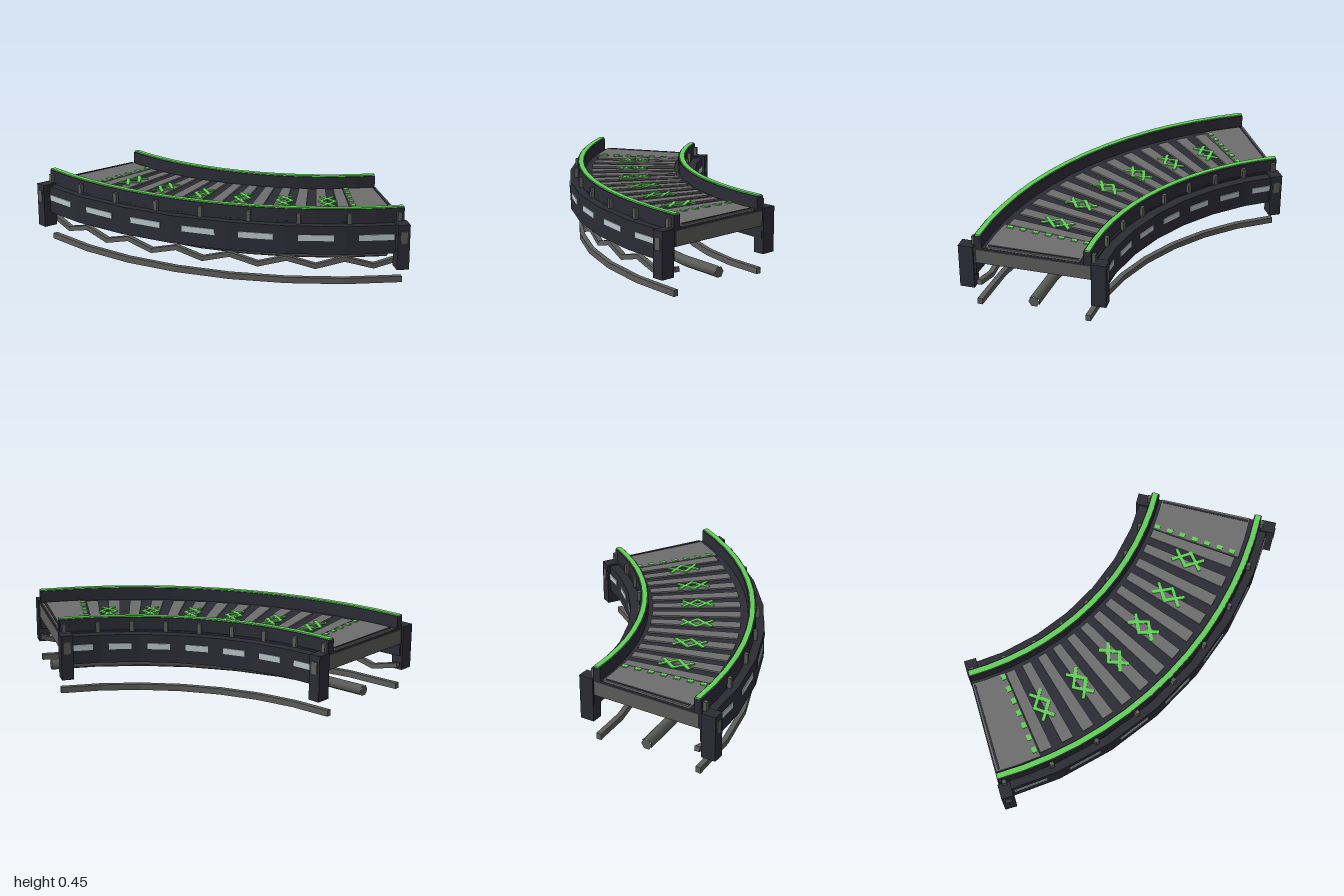
import * as THREE from 'three';

const DEG = Math.PI / 180;
const SWEEP = 60;
const CENTER = { x: -0.99, z: -1.515 };
const SEGMENTS = 7;

function material(name, color) {
  const m = new THREE.MeshStandardMaterial({ color });
  m.name = name;
  return m;
}

// Point on the bend: radius r, angle in degrees from the left end
function polar(r, deg, y) {
  return new THREE.Vector3(CENTER.x + r * Math.sin(deg * DEG), y, CENTER.z + r * Math.cos(deg * DEG));
}

// Curved block between two radii, two heights and two angles
function arcBlock(r0, r1, y0, y1, a0 = 0, a1 = SWEEP, segs = SEGMENTS) {
  const pts = [];
  for (let i = 0; i <= segs; i++) {
    const p = polar(r1, a0 + (a1 - a0) * i / segs, 0);
    pts.push(new THREE.Vector2(p.x, -p.z));
  }
  for (let i = segs; i >= 0; i--) {
    const p = polar(r0, a0 + (a1 - a0) * i / segs, 0);
    pts.push(new THREE.Vector2(p.x, -p.z));
  }
  const geo = new THREE.ExtrudeGeometry(new THREE.Shape(pts), { depth: y1 - y0, bevelEnabled: false });
  geo.rotateX(-Math.PI / 2);
  geo.translate(0, y0, 0);
  return geo;
}

// Constant-radius path under the deck
class BendCurve extends THREE.Curve {
  constructor(r, y) { super(); this.r = r; this.y = y; }
  getPoint(t) { return polar(this.r, t * SWEEP, this.y); }
}

export function createModel() {
  const model = new THREE.Group();
  model.name = 'curvedWalkway';

  const dark = material('darkFrame', 0x2c2c36);
  const grey = material('deckGrey', 0x6e6e6e);
  const pipeGrey = material('pipeGrey', 0x5c5c5a);
  const floorGrey = material('undersideGrey', 0x424242);
  const green = material('markingGreen', 0x62d058);
  const light = material('lightPanel', 0xb9c6cd);

  function add(name, geo, mat, parent = model) {
    const mesh = new THREE.Mesh(geo, mat);
    mesh.name = name;
    parent.add(mesh);
    return mesh;
  }

  // Box whose z axis points outwards from the bend's centre
  function radialBox(name, mat, w, h, d, r, deg, y, shift = 0) {
    const geo = new THREE.BoxGeometry(w, h, d);
    geo.translate(shift, 0, 0);
    const mesh = add(name, geo, mat);
    mesh.position.copy(polar(r, deg, y));
    mesh.rotation.y = deg * DEG;
    return mesh;
  }

  // Deck slab with its underside
  add('deckBase', arcBlock(1.53, 2.21, 0.28, 0.37), dark);
  add('underside', arcBlock(1.53, 2.21, 0.27, 0.28), floorGrey);

  // Side walls, rails, light panels and brackets, inner then outer
  for (const side of [
    { name: 'inner', wall: [1.475, 1.54], rail: [1.537, 1.582], out: -1 },
    { name: 'outer', wall: [2.2, 2.258], rail: [2.163, 2.207], out: 1 },
  ]) {
    const { name, wall, rail, out } = side;
    const face = out > 0 ? wall[1] : wall[0];
    const railFace = out > 0 ? rail[1] : rail[0];
    const mid = (rail[0] + rail[1]) / 2;
    add(name + 'Wall', arcBlock(wall[0], wall[1], 0.195, 0.36), dark);
    add(name + 'Rail', arcBlock(rail[0], rail[1], 0.35, 0.443, 0, SWEEP, 14), dark);
    add(name + 'RailStripe', arcBlock(mid - 0.015, mid + 0.015, 0.443, 0.45, 0, SWEEP, 14), green);

    const step = SWEEP / SEGMENTS;
    const apothem = face * Math.cos(step * DEG / 2);
    const chord = 2 * face * Math.sin(step * DEG / 2);
    for (let i = 0; i < SEGMENTS; i++) {
      radialBox(name + 'LightPanel', light, chord * 0.59, 0.034, 0.006, apothem + out * 0.002, (i + 0.5) * step, 0.292);
    }
    for (let i = 0; i < 9; i++) {
      radialBox(name + 'Bracket', pipeGrey, 0.024, 0.06, 0.025, railFace + out * 0.008, 0.8 + 7.3 * i, 0.393);
    }

    // End posts with small face plates
    const postR = out > 0 ? 2.255 : 1.495;
    for (const [deg, shift] of [[0, 0.025], [SWEEP, -0.025]]) {
      radialBox(name + 'Post', dark, 0.07, 0.262, 0.085, postR, deg, 0.241, shift);
      radialBox(name + 'PostPlate', pipeGrey, 0.038, 0.07, 0.006, postR + out * 0.044, deg, 0.3, shift);
    }
  }

  // Both deck ends: cross bar, grey panel, dark groove and dashed green line
  for (const end of [0, 1]) {
    const at = (a) => (end ? SWEEP - a : a);
    const span = (a, b) => (end ? [SWEEP - b, SWEEP - a] : [a, b]);
    add('endBar', arcBlock(1.545, 2.195, 0.275, 0.358, ...span(-0.12, 0.3), 1), pipeGrey);
    add('endPanel', arcBlock(1.6, 2.14, 0.36, 0.38, ...span(0.05, 7.1), 2), grey);
    add('endGroove', arcBlock(1.61, 2.13, 0.378, 0.383, ...span(0.35, 0.75), 1), dark);
    for (let i = 0; i < 7; i++) {
      radialBox('dash', green, 0.026, 0.008, 0.034, 1.625 + i * 0.078, at(6.55), 0.382);
    }
  }

  // Tread slats
  for (let i = 0; i < 13; i++) {
    const a = 8.25 + i * 43.5 / 12;
    add('slat', arcBlock(1.605, 2.12, 0.365, 0.379, a - 0.97, a + 0.97, 1), grey);
  }

  // Crossed diamond floor markings
  for (let i = 0; i < 6; i++) {
    const marking = new THREE.Group();
    marking.name = 'floorMarking';
    const deg = 10.8 + i * 7.68;
    marking.position.copy(polar(1.87, deg, 0.383));
    marking.rotation.y = deg * DEG;
    for (const sx of [-1, 1]) {
      for (const sz of [-1, 1]) {
        const dx = -0.078 * sx, dz = 0.085 * sz;
        const stroke = add('markingStroke', new THREE.BoxGeometry(0.02, 0.007, Math.hypot(dx, dz) + 0.012), green, marking);
        stroke.position.set(0.006 * sx, 0, 0.0425 * sz);
        stroke.rotation.y = Math.atan2(dx, dz);
      }
    }
    model.add(marking);
  }

  // Flat pipes at ground level
  add('innerGroundPipe', arcBlock(1.545, 1.575, 0, 0.035), pipeGrey);
  add('outerGroundPipe', arcBlock(2.175, 2.205, 0, 0.035), pipeGrey);

  // Thick central pipe with closed ends
  const curve = new BendCurve(1.87, 0.07);
  add('centralPipe', new THREE.TubeGeometry(curve, SEGMENTS, 0.033, 6), pipeGrey);
  for (const end of [0, 1]) {
    const cap = add('centralPipeCap', new THREE.CircleGeometry(0.033, 6), pipeGrey);
    cap.position.copy(curve.getPoint(end));
    cap.rotation.y = end ? Math.PI / 2 + SWEEP * DEG : -Math.PI / 2;
  }

  // Zigzag truss below the outer wall
  const zig = (i) => polar(2.185, i * SWEEP / 14, i % 2 ? 0.103 : 0.147);
  for (let i = 0; i < 14; i++) {
    const a = zig(i), b = zig(i + 1);
    const strut = add('trussStrut', new THREE.BoxGeometry(0.03, 0.028, a.distanceTo(b) + 0.008), pipeGrey);
    strut.position.copy(a).add(b).multiplyScalar(0.5);
    strut.lookAt(b);
  }

  return model;
}
